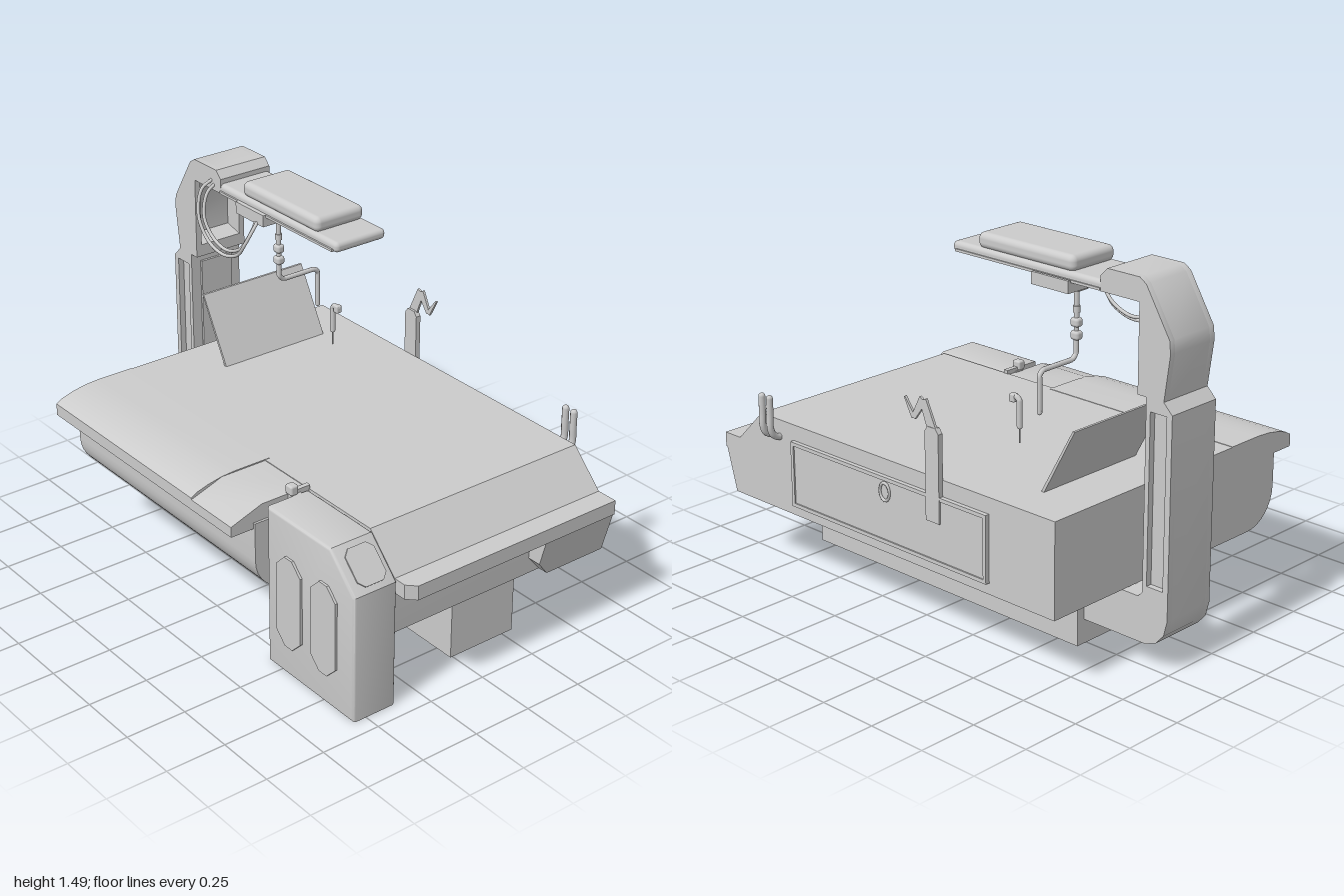
import * as THREE from 'three';
import { toCreasedNormals } from 'three/addons/utils/BufferGeometryUtils.js';
import { RoundedBoxGeometry } from 'three/addons/geometries/RoundedBoxGeometry.js';

export function createModel() {
  const model = new THREE.Group();
  const grey = new THREE.MeshStandardMaterial({ color: 0xcccccc });

  const add = (name, geometry) => {
    const mesh = new THREE.Mesh(geometry, grey);
    mesh.name = name;
    model.add(mesh);
    return mesh;
  };
  const path = (pts) => pts.map(([a, b]) => new THREE.Vector2(a, b));
  const extrude = (shape, depth, bevel = 0) => new THREE.ExtrudeGeometry(shape, {
    depth: depth - 2 * bevel, bevelEnabled: bevel > 0, bevelSize: bevel, bevelOffset: -bevel,
    bevelThickness: bevel, bevelSegments: 3, curveSegments: 10,
  }).translate(0, 0, bevel);
  // prism along z from an [x, y] outline
  const prismZ = (name, pts, z0, z1, bevel = 0, holes = []) => {
    const shape = new THREE.Shape(path(pts));
    for (const h of holes) shape.holes.push(new THREE.Path(path(h)));
    return add(name, toCreasedNormals(extrude(shape, z1 - z0, bevel).translate(0, 0, z0), 0.6));
  };
  // prism along x from a [z, y] outline
  const prismX = (name, pts, x0, x1) => {
    const shape = new THREE.Shape(path(pts.map(([z, y]) => [-z, y])));
    return add(name, toCreasedNormals(extrude(shape, x1 - x0).rotateY(Math.PI / 2).translate(x0, 0, 0), 0.6));
  };
  // box from its limits, optionally rounded
  const box = (name, x0, x1, y0, y1, z0, z1, r = 0) => {
    const s = [x1 - x0, y1 - y0, z1 - z0];
    const g = r ? new RoundedBoxGeometry(...s, 4, r) : new THREE.BoxGeometry(...s);
    return add(name, g.translate((x0 + x1) / 2, (y0 + y1) / 2, (z0 + z1) / 2));
  };
  // tube through points, either smooth or with straight runs, with closed ends
  const tube = (name, pts, r, smooth = false) => {
    const v = pts.map((p) => new THREE.Vector3(...p));
    let curve = new THREE.CatmullRomCurve3(v);
    if (!smooth) {
      curve = new THREE.CurvePath();
      for (let i = 1; i < v.length; i++) curve.add(new THREE.LineCurve3(v[i - 1], v[i]));
    }
    add(name, new THREE.TubeGeometry(curve, 48, r, 10));
    for (const p of [v[0], v[v.length - 1]]) {
      add(name + 'End', new THREE.SphereGeometry(r, 10, 8).translate(p.x, p.y, p.z));
    }
  };
  const rect = (x0, x1, y0, y1) => [[x0, y0], [x1, y0], [x1, y1], [x0, y1]];
  const octagon = (x0, x1, y0, y1, c) => [[x0 + c, y0], [x1 - c, y0], [x1, y0 + c], [x1, y1 - c],
    [x1 - c, y1], [x0 + c, y1], [x0, y1 - c], [x0, y0 + c]];

  // Pedestal and main body with its sloped right end
  box('base', -0.6, 0.83, 0, 0.3, -0.3, 0.01);
  prismZ('body', [[-0.8, 0.29], [0.9, 0.29], [0.91, 0.47], [0.91, 0.53], [0.77, 0.67], [-0.8, 0.67]], -0.645, 0.36);

  // Side ledge with a clipped front corner
  const ledge = new THREE.Shape(path([[0.88, 0.645], [1, 0.645], [1, -0.325], [0.965, -0.36], [0.88, -0.36]]));
  add('sideLedge', extrude(ledge, 0.06).rotateX(-Math.PI / 2).translate(0, 0.47, 0));

  // Tapered bracket under the ledge
  const bracket = prismX('ledgeBracket', [[-0.3, 0.475], [-0.3, 0.36], [-0.36, 0.29], [-0.645, 0.29], [-0.645, 0.475]], 0.85, 0.995);
  const bp = bracket.geometry.attributes.position;
  for (let i = 0; i < bp.count; i++) {
    if (bp.getX(i) > 0.9) bp.setX(i, 0.995 - (0.475 - bp.getY(i)) * 0.28);
  }
  bracket.geometry.computeVertexNormals();

  // Front apron with a rounded lower edge
  const belly = [[0.34, 0.29]];
  for (let i = 0; i <= 8; i++) {
    const a = (i / 8) * Math.PI / 2;
    belly.push([0.45 + 0.15 * Math.sin(a), 0.44 - 0.15 * Math.cos(a)]);
  }
  belly.push([0.6, 0.6], [0.34, 0.6]);
  prismX('frontApron', belly, -0.8, 0.4);

  // Work ledge above the apron: a padded run and a sloped run
  prismX('paddedLedge', [[0.34, 0.575], [0.7, 0.575], [0.7, 0.625], [0.67, 0.642], [0.62, 0.657], [0.56, 0.668], [0.5, 0.672], [0.34, 0.672]], -0.8, 0.14);
  prismX('slopedLedge', [[0.34, 0.575], [0.7, 0.575], [0.7, 0.618], [0.56, 0.667], [0.34, 0.667]], 0.14, 0.39);

  // Front cabinet with door panels and a sloped display
  prismZ('cabinet', [[0.42, 0], [0.93, 0], [0.93, 0.53], [0.79, 0.67], [0.42, 0.67]], 0.365, 0.56, 0.012);
  for (const x of [0.485, 0.69]) {
    prismZ('cabinetPanel', octagon(x, x + 0.145, 0.13, 0.515, 0.05), 0.555, 0.57);
  }
  const display = prismZ('cabinetDisplay', octagon(-0.065, 0.065, -0.075, 0.075, 0.025), -0.004, 0.004);
  display.rotation.set(-Math.PI / 2, Math.PI / 4, 0, 'YXZ');
  display.quaternion.setFromRotationMatrix(new THREE.Matrix4().makeBasis(
    new THREE.Vector3(0, 0, -1),
    new THREE.Vector3(-Math.SQRT1_2, Math.SQRT1_2, 0),
    new THREE.Vector3(Math.SQRT1_2, Math.SQRT1_2, 0)));
  display.position.set(0.861, 0.601, 0.455);

  // Small post between cabinet and ledge
  box('latchPost', 0.385, 0.42, 0.59, 0.67, 0.4, 0.44);
  box('latchHead', 0.383, 0.423, 0.67, 0.71, 0.415, 0.45, 0.008);
  box('latchArm', 0.392, 0.412, 0.66, 0.685, 0.355, 0.42);

  // Gantry column: two cheeks with slots around a hollowed core
  const lower = [[-0.9, 0.1], [-0.6, 0.1], [-0.6, 0.28], [-0.86, 0.28], [-0.88, 0.3], [-0.88, 1.05]];
  const back = [[-0.66, 1.39], [-0.66, 1.45], [-0.69, 1.48], [-0.84, 1.48], [-0.87, 1.46], [-0.98, 1.28],
    [-0.985, 1.23], [-0.96, 1.05], [-1, 1.01], [-1, 0.22], [-0.985, 0.16], [-0.95, 0.12]];
  const cheek = [...lower, [-0.84, 1.05], [-0.84, 1.39], ...back];
  const slot = rect(-0.975, -0.9, 0.33, 1);
  prismZ('gantryCheekBack', cheek, -0.265, -0.24, 0, [slot]);
  prismZ('gantryCheekFront', cheek, -0.05, -0.025, 0, [slot]);
  prismZ('gantryCore', [...lower, [-0.84, 1.05], [-0.84, 1.1], [-0.92, 1.12], [-0.92, 1.24], [-0.86, 1.39], ...back], -0.24, -0.05);
  box('columnPlate', -0.89, -0.87, 0.6, 1.01, -0.22, -0.07);

  // Overhead arm
  box('overheadPlate', -0.68, 0.08, 1.388, 1.43, -0.265, -0.025, 0.018);
  box('overheadRail', -0.66, 0.06, 1.393, 1.403, -0.27, -0.018);
  box('overheadHousing', -0.525, -0.045, 1.425, 1.487, -0.26, -0.03, 0.024);
  box('toolMount', -0.53, -0.35, 1.357, 1.395, -0.29, -0.005);
  for (const z of [-0.285, -0.01]) box('mountLip', -0.53, -0.35, 1.357, 1.405, z - 0.006, z + 0.006);
  box('toolSocket', -0.475, -0.405, 1.325, 1.36, -0.175, -0.115, 0.008);

  // Hanging tool with swivel joints
  tube('toolArm', [[-0.44, 1.36, -0.145], [-0.44, 1.08, -0.145], [-0.44, 1.06, -0.165], [-0.44, 1.06, -0.325],
    [-0.44, 1.045, -0.34], [-0.44, 0.9, -0.34]], 0.01);
  for (const y of [1.2, 1.15]) {
    box('toolJoint', -0.46, -0.42, y - 0.018, y + 0.018, -0.163, -0.127, 0.012);
  }
  add('toolCollar', new THREE.CylinderGeometry(0.014, 0.014, 0.025, 12).translate(-0.44, 1.25, -0.145));

  // Paired cables looping in front of the arm
  for (const [r, top, z] of [[0, 1.43, 0.05], [0.016, 1.415, 0.035]]) {
    tube('cable', [[-0.725 + r, top, -0.03], [-0.728 + r, top - 0.03, z - 0.03], [-0.71 + r, 1.3, z], [-0.65 + r / 2, 1.215 + r, z],
      [-0.55, 1.188 + r, z], [-0.45 - r / 2, 1.22 + r, z], [-0.4 - r, 1.28, z], [-0.385 - r, 1.34, z - 0.03], [-0.4 - r, 1.37, -0.02]], 0.007, true);
  }

  // Tilted screen
  prismZ('screen', [[-0.587, 0.665], [-0.573, 0.665], [-0.725, 0.938], [-0.735, 0.938]], -0.475, 0.025);

  // Small floating hook
  tube('hook', [[-0.34, 0.82, -0.34], [-0.34, 0.92, -0.34], [-0.33, 0.932, -0.34], [-0.305, 0.932, -0.34]], 0.011);
  box('hookTip', -0.322, -0.296, 0.91, 0.942, -0.353, -0.327, 0.005);
  add('hookTail', new THREE.CylinderGeometry(0.003, 0.003, 0.065, 6).translate(-0.34, 0.788, -0.34));

  // Back panel with a ring pull
  box('backPanel', -0.48, 0.58, 0.335, 0.605, -0.657, -0.64);
  prismZ('backPanelFrame', rect(-0.48, 0.58, 0.335, 0.605), -0.663, -0.655, 0, [rect(-0.465, 0.565, 0.35, 0.59)]);
  add('ringPull', new THREE.TorusGeometry(0.032, 0.006, 8, 20).scale(0.8, 1.1, 1).translate(0.05, 0.545, -0.66));

  // Jointed blade arm on the back edge
  const strip = (name, pts, w) => {
    for (let i = 1; i < pts.length; i++) {
      const [a, b] = [pts[i - 1], pts[i]];
      const dx = b[0] - a[0], dy = b[1] - a[1], l = Math.hypot(dx, dy);
      const px = -dy / l, py = dx / l, wa = w[i - 1], wb = w[i];
      prismZ(name, [[a[0] + px * wa, a[1] + py * wa], [a[0] - px * wa, a[1] - py * wa],
        [b[0] - px * wb, b[1] - py * wb], [b[0] + px * wb, b[1] + py * wb]], -0.663, -0.653);
    }
  };
  prismZ('bladePost', [[-0.245, 0.5], [-0.175, 0.5], [-0.175, 0.85], [-0.19, 0.87], [-0.23, 0.87], [-0.245, 0.85]], -0.665, -0.643);
  strip('bladeArm', [[-0.21, 0.86], [-0.165, 0.965], [-0.115, 0.885], [-0.07, 0.955]], [0.022, 0.018, 0.01, 0.003]);

  // Twin exhaust pipes
  for (const x of [0.663, 0.708]) {
    tube('exhaustPipe', [[x, 0.6, -0.63], [x, 0.602, -0.655], [x, 0.617, -0.678], [x, 0.645, -0.69], [x, 0.7, -0.69], [x, 0.768, -0.69]], 0.014, true);
  }
  return model;
}
